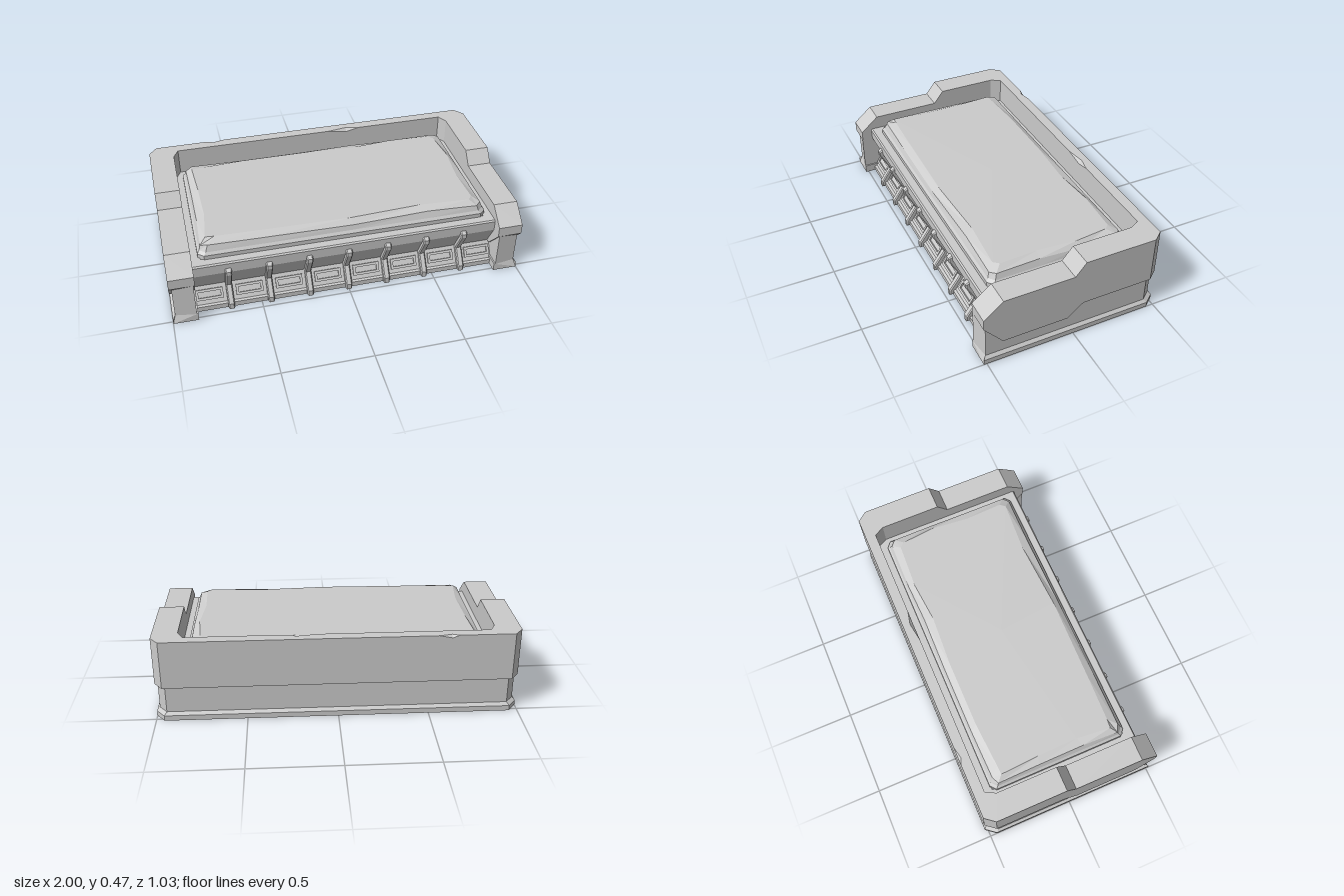
import * as THREE from 'three';

const material = new THREE.MeshStandardMaterial({ color: 0xcccccc, flatShading: true, side: THREE.DoubleSide });

function add(parent, name, geometry) {
  const mesh = new THREE.Mesh(geometry, material);
  mesh.name = name;
  parent.add(mesh);
  return mesh;
}

// Skin a row of cross-sections; each section is a list of [x, y, z].
function skin(sections, closedRow, closedSection) {
  const pos = [];
  const tri = (...pts) => pts.forEach((p) => pos.push(...p));
  const n = sections.length, m = sections[0].length;
  for (let i = 0; i < (closedRow ? n : n - 1); i++) {
    const s = sections[i], t = sections[(i + 1) % n];
    for (let j = 0; j < (closedSection ? m : m - 1); j++) {
      const k = (j + 1) % m;
      tri(s[j], t[j], t[k]);
      tri(s[j], t[k], s[k]);
    }
  }
  if (!closedRow) {
    const s = sections[0], e = sections[n - 1];
    for (let j = 1; j < m - 1; j++) {
      tri(s[0], s[j], s[j + 1]);
      tri(e[0], e[j + 1], e[j]);
    }
  }
  const g = new THREE.BufferGeometry();
  g.setAttribute('position', new THREE.Float32BufferAttribute(pos, 3));
  g.computeVertexNormals();
  return g;
}

// Extrude a (z, y) outline along x, centred on x = 0.
function extrudeX(points, width, bevel = 0) {
  const shape = new THREE.Shape(points.map((p) => new THREE.Vector2(...p)));
  const g = new THREE.ExtrudeGeometry(shape, {
    depth: width - 2 * bevel, bevelEnabled: bevel > 0, bevelSize: bevel,
    bevelThickness: bevel, bevelOffset: -bevel, bevelSegments: 1,
  });
  g.translate(0, 0, -(width - 2 * bevel) / 2);
  return g.rotateY(-Math.PI / 2);
}

const rect = (C, x0, y0, x1, y1) => new C([[x0, y0], [x1, y0], [x1, y1], [x0, y1]].map((p) => new THREE.Vector2(...p)));

// U-shaped wall plan: outer x, z, inner x, z, bottom and top of the armour tier.
function wallStations() {
  const half = [
    [1, 0.517, 0.86, 0.517, 0.25, 0.31],
    [1, 0.41, 0.86, 0.41, 0.125, 0.4],
    [1, 0.04, 0.86, 0.04, 0.125, 0.4],
    [1, 0.01, 0.86, 0.01, 0.15, 0.4],
    [1, -0.05, 0.86, -0.05, 0.2, 0.475],
    [1, -0.46, 0.86, -0.4, 0.2, 0.475],
    [0.955, -0.517, 0.83, -0.457, 0.2, 0.475],
  ];
  const mirrored = half.map(([a, b, c, ...r]) => [-a, b, -c, ...r]).reverse();
  // chips along the back rim: x, outer cut, inner drop
  const chips = [[0.3, 0, 0], [0.22, 0, 0.018], [0.1, 0, 0], [-0.54, 0, 0], [-0.61, 0.015, 0], [-0.65, 0, 0]]
    .map(([x, cut, drop]) => [x, -0.517, x, -0.457, 0.2, 0.475, cut, drop]);
  return [...half, ...chips, ...mirrored];
}

function buildWalls(group) {
  const st = wallStations();
  add(group, 'upperArmourWall', skin(st.map(([ox, oz, ix, iz, yb, yt, cut = 0, drop = 0]) => [
    [ox, yb, oz], [ox, yt - cut, oz], [ox, yt, oz + cut],
    [ix, yt, iz - drop], [ix, yt - drop, iz], [ix, yb, iz],
  ]), false, true));
  add(group, 'lowerWall', skin(st.map(([ox, oz, ix, iz, yb]) => [
    [ox * 0.985, 0.03, oz * 0.97], [ox * 0.985, yb + 0.015, oz * 0.97],
    [ix * 1.01, yb + 0.015, iz], [ix * 1.01, 0.03, iz],
  ]), false, true));
  add(group, 'baseFlange', skin(st.map(([ox, oz, ix, iz]) => [
    [ox, 0, oz], [ox, 0.03, oz], [ox * 0.985, 0.047, oz * 0.97],
    [ix, 0.047, iz], [ix, 0, iz],
  ]), false, true));
}

function buildFront(group) {
  // kinked front panel between the two side walls
  add(group, 'frontPanel', extrudeX([
    [0.405, 0.32], [0.405, 0.26], [0.34, 0.125], [0.4, 0], [0.455, 0], [0.455, 0.03],
    [0.44, 0.034], [0.385, 0.125], [0.453, 0.252], [0.455, 0.312], [0.447, 0.32],
  ], 1.76));

  const pitch = 0.224;
  const rib = extrudeX([
    [0.445, 0.285], [0.445, 0.25], [0.375, 0.125], [0.43, 0.03], [0.43, 0], [0.475, 0],
    [0.475, 0.035], [0.412, 0.125], [0.475, 0.245], [0.475, 0.268],
  ], 0.036, 0.006);
  for (let i = -3; i <= 3; i++) add(group, 'frontRib', rib).position.x = i * pitch;

  // raised slot frames between the ribs
  const outline = rect(THREE.Shape, -0.076, -0.03, 0.076, 0.03);
  outline.holes.push(rect(THREE.Path, -0.062, -0.016, 0.062, 0.016));
  const frame = new THREE.ExtrudeGeometry(outline, { depth: 0.01, bevelEnabled: false });
  for (let i = -3.5; i <= 3.5; i++) {
    const f = add(group, 'slotFrame', frame);
    f.position.set(i * pitch, 0.08, 0.412);
    f.rotation.x = -Math.atan2(0.055, 0.091);
  }
}

function buildBed(group) {
  // deck surrounding the raised slab, open beneath
  const shape = rect(THREE.Shape, -0.87, -0.42, 0.87, 0.46);
  shape.holes.push(rect(THREE.Path, -0.81, -0.395, 0.81, 0.405));
  add(group, 'deck', new THREE.ShapeGeometry(shape).rotateX(-Math.PI / 2)).position.y = 0.32;

  // worn slab with a bevelled, uneven rim
  const plan = [[1, 0.93], [1, 0.3], [1, -0.35], [1, -0.93], [0.96, -1], [0.6, -1], [0.3, -1], [-0.1, -1], [-0.6, -1], [-0.96, -1],
    [-1, -0.93], [-1, -0.3], [-1, 0.4], [-1, 0.93], [-0.96, 1], [-0.6, 1], [0.05, 1], [0.6, 1], [0.96, 1]];
  const sections = plan.map(([u, v], i) => {
    const w = Math.sin(i * 2.3);
    const ring = (inset, y) => [u * (0.822 - inset), y, v * (0.407 - inset) - 0.005];
    return [ring(0, 0.31), ring(0, 0.345), ring(0.012, 0.36), ring(0.024 + 0.004 * w, 0.392 + 0.006 * w),
      ring(0.065 + 0.012 * w, 0.413), [0, 0.416, 0]];
  });
  add(group, 'slab', skin(sections, true, false));
}

export function createModel() {
  const group = new THREE.Group();
  group.name = 'walledPlatform';
  buildWalls(group);
  buildFront(group);
  buildBed(group);
  return group;
}
